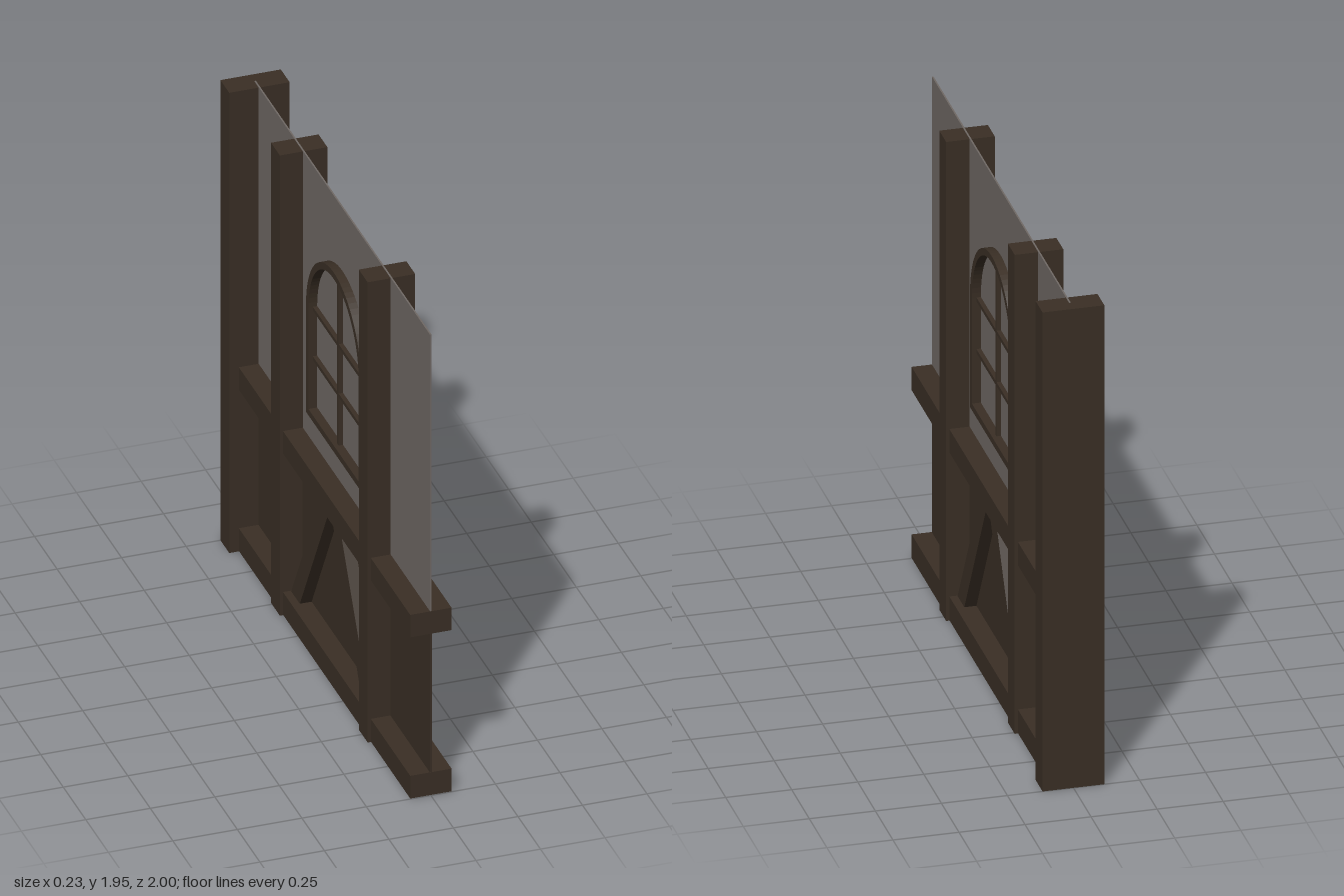
import * as THREE from 'three';

export function createModel() {
  const model = new THREE.Group();
  const timber = new THREE.MeshStandardMaterial({ color: 0x3a2f25 });
  timber.name = 'dark timber';
  const plaster = new THREE.MeshStandardMaterial({ color: 0x706965 });
  plaster.name = 'grey plaster';

  const add = (name, geometry, material) => {
    const mesh = new THREE.Mesh(geometry, material);
    mesh.name = name;
    model.add(mesh);
    return mesh;
  };

  // Box spanning z0..z1 and y0..y1, centred on x = 0
  const slab = (name, half, y0, y1, z0, z1, material = timber) =>
    add(name, new THREE.BoxGeometry(half * 2, y1 - y0, z1 - z0), material)
      .position.set(0, (y0 + y1) / 2, (z0 + z1) / 2);

  // Outline drawn in (z, y), given thickness along x
  const plate = (name, half, shape) => {
    const geometry = new THREE.ExtrudeGeometry(shape, {
      depth: half * 2, bevelEnabled: false, curveSegments: 20,
    });
    geometry.translate(0, 0, -half);
    geometry.rotateY(-Math.PI / 2);
    add(name, geometry, timber);
  };

  // Thin wall: timber boarding below, plaster above
  slab('lowerPanel', 0.004, 0.05, 0.73, -0.95, 0.999);
  slab('upperPanel', 0.003, 0.73, 1.952, -0.95, 0.999, plaster);

  // Horizontal rails
  slab('bottomRail', 0.08, 0.002, 0.098, -0.91, 1);
  slab('middleRail', 0.08, 0.685, 0.78, -0.91, 1);

  // Upright posts
  slab('frontPost', 0.092, 0, 1.95, 0.464, 0.562);
  slab('rearPost', 0.092, 0, 1.95, -0.51, -0.412);
  slab('endPost', 0.117, 0, 1.95, -1, -0.902);

  // Diagonal braces meeting under the middle rail
  const middle = 0.026;
  for (const side of [1, -1]) {
    const points = [[0.438, 0.09], [0.342, 0.09], [0, 0.69], [0.095, 0.69]];
    plate('brace', 0.05, new THREE.Shape(
      points.map(([z, y]) => new THREE.Vector2(middle + side * z, y))));
  }

  // Arched window frame
  const arch = (Path, half, bottom) => {
    const path = new Path();
    path.moveTo(middle - half, bottom);
    path.lineTo(middle + half, bottom);
    path.lineTo(middle + half, 1.38);
    path.absarc(middle, 1.38, half, 0, Math.PI, false);
    path.lineTo(middle - half, bottom);
    return path;
  };
  const frame = arch(THREE.Shape, 0.306, 0.926);
  frame.holes.push(arch(THREE.Path, 0.279, 0.953));
  plate('windowFrame', 0.037, frame);

  // Glazing bars
  slab('verticalBar', 0.02, 0.94, 1.67, middle - 0.008, middle + 0.008);
  for (const y of [1.165, 1.375]) {
    slab('horizontalBar', 0.02, y - 0.008, y + 0.008, middle - 0.285, middle + 0.285);
  }

  return model;
}
